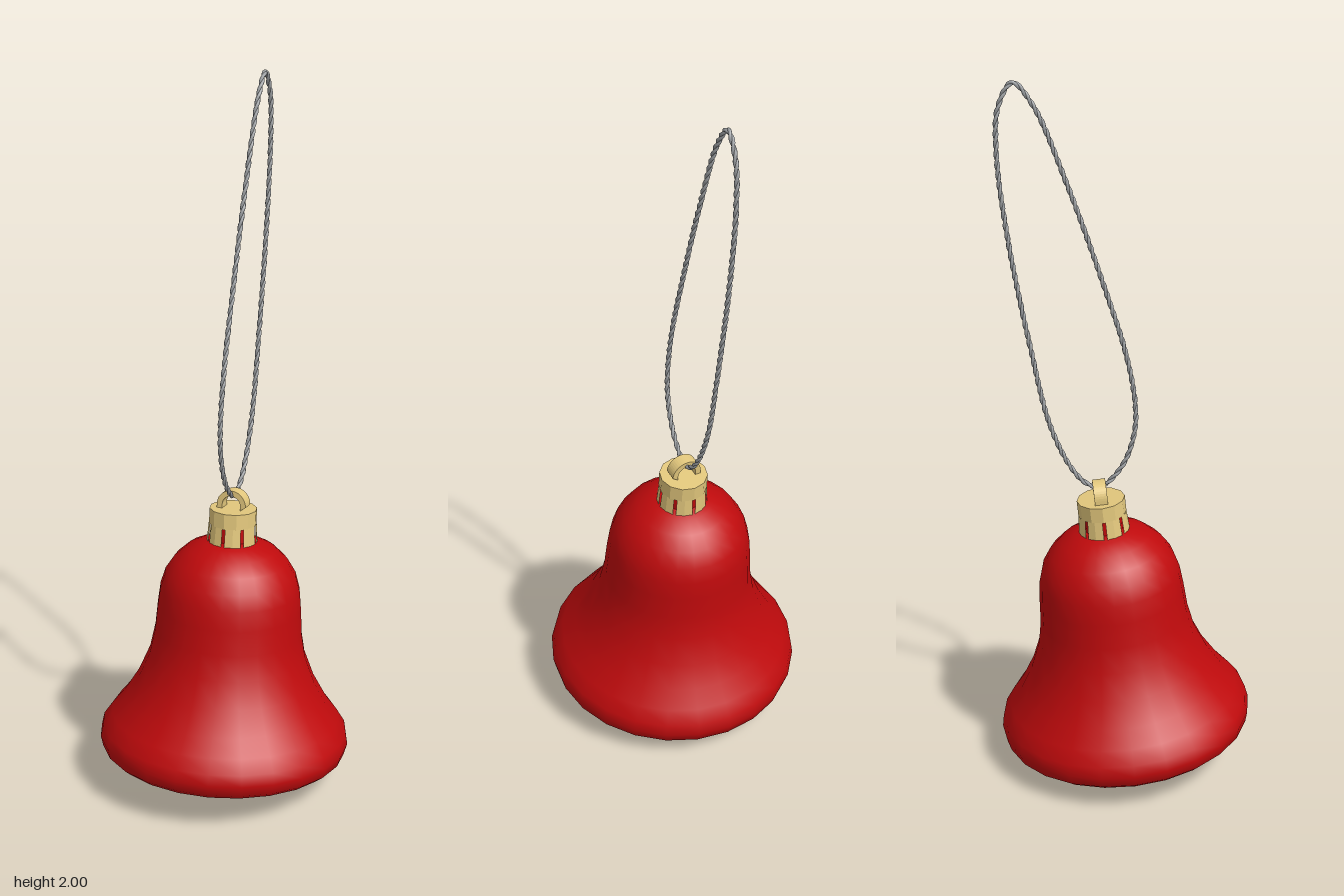
import * as THREE from 'three';

const red = new THREE.MeshStandardMaterial({ color: 0xc00a0c });
red.name = 'red';
const gold = new THREE.MeshStandardMaterial({ color: 0xe3c87d, flatShading: true, side: THREE.DoubleSide });
gold.name = 'gold';
const grey = new THREE.MeshStandardMaterial({ color: 0x9c9fa2 });
grey.name = 'grey';

function part(name, geometry, material, parent, y = 0) {
  const mesh = new THREE.Mesh(geometry, material);
  mesh.name = name;
  mesh.position.y = y;
  parent.add(mesh);
  return mesh;
}

const profile = (pairs) => pairs.map(([r, y]) => new THREE.Vector2(r, y));

// One strand wound round a closed path lying in the yz plane
class Strand extends THREE.Curve {
  constructor(path, turns, phase, radius) {
    super();
    Object.assign(this, { path, turns, phase, radius, arcLengthDivisions: 1200 });
  }
  getPoint(t, target = new THREE.Vector3()) {
    const side = new THREE.Vector3(1, 0, 0);
    const normal = this.path.getTangentAt(t).cross(side);
    const a = t * this.turns * Math.PI * 2 + this.phase;
    return target.copy(this.path.getPointAt(t))
      .addScaledVector(side, Math.cos(a) * this.radius)
      .addScaledVector(normal, Math.sin(a) * this.radius);
  }
}

export function createModel() {
  const model = new THREE.Group();
  model.name = 'bellOrnament';

  // Everything but the cord hangs on a slightly tilted axis
  const bell = new THREE.Group();
  bell.name = 'bell';
  bell.position.z = 0.012;
  bell.rotation.x = -0.1;
  model.add(bell);

  // Closed body: shallow hollow underneath, round the lip, up the outside
  part('bellBody', new THREE.LatheGeometry(profile([
    [0, 0.132], [0.1, 0.126], [0.2, 0.108], [0.27, 0.086], [0.305, 0.076], [0.33, 0.08],
    [0.348, 0.095], [0.356, 0.125], [0.35, 0.157], [0.325, 0.195], [0.29, 0.24], [0.252, 0.305],
    [0.222, 0.38], [0.209, 0.45], [0.204, 0.52], [0.198, 0.575], [0.185, 0.62],
    [0.16, 0.66], [0.125, 0.693], [0.085, 0.713], [0.045, 0.725], [0, 0.728],
  ]), 24), red, bell);
  part('neck', new THREE.CylinderGeometry(0.054, 0.054, 0.08, 16), red, bell, 0.74);

  // Clapper, slightly taller than wide
  const clapper = new THREE.SphereGeometry(0.062, 16, 12);
  clapper.scale(1, 1.15, 1);
  part('clapper', clapper, red, bell, 0.072);

  // Cap with a notched skirt
  const cap = new THREE.Group();
  cap.name = 'cap';
  bell.add(cap);
  part('capTop', new THREE.CylinderGeometry(0.067, 0.067, 0.045, 12), gold, cap, 0.79);
  const tabs = 8;
  for (let i = 0; i < tabs; i++) {
    const step = Math.PI * 2 / tabs;
    part('capTab', new THREE.CylinderGeometry(0.067, 0.071, 0.055, 2, 1, true,
      (i + 0.08) * step, step * 0.84), gold, cap, 0.742);
  }

  // Flat band arched over the cap
  const arch = new THREE.Shape();
  arch.moveTo(0.043, 0);
  arch.absarc(0, 0.012, 0.043, 0, Math.PI, false);
  arch.lineTo(-0.043, 0);
  arch.lineTo(-0.027, 0);
  arch.absarc(0, 0.012, 0.027, Math.PI, 0, true);
  arch.lineTo(0.027, 0);
  const hanger = new THREE.ExtrudeGeometry(arch, { depth: 0.036, bevelEnabled: false, curveSegments: 10 });
  hanger.translate(0, 0, -0.018);
  part('hanger', hanger, gold, cap, 0.812);

  // Twisted cord loop, given as z, y along the path
  const cord = new THREE.Group();
  cord.name = 'cord';
  model.add(cord);
  const path = new THREE.CatmullRomCurve3([
    [-0.07, 0.844], [-0.01, 0.905], [0.023, 1.0], [0.026, 1.09], [0, 1.24], [-0.055, 1.425],
    [-0.15, 1.71], [-0.24, 1.935], [-0.29, 1.992], [-0.327, 1.93], [-0.334, 1.8],
    [-0.308, 1.56], [-0.257, 1.27], [-0.205, 1.03], [-0.15, 0.905], [-0.11, 0.857],
  ].map(([z, y]) => new THREE.Vector3(0, y, z)), true);
  path.arcLengthDivisions = 800;
  for (const phase of [0, Math.PI]) {
    const strand = new Strand(path, 44, phase, 0.0028);
    part('cordStrand', new THREE.TubeGeometry(strand, 528, 0.0047, 8, true), grey, cord);
  }

  return model;
}
